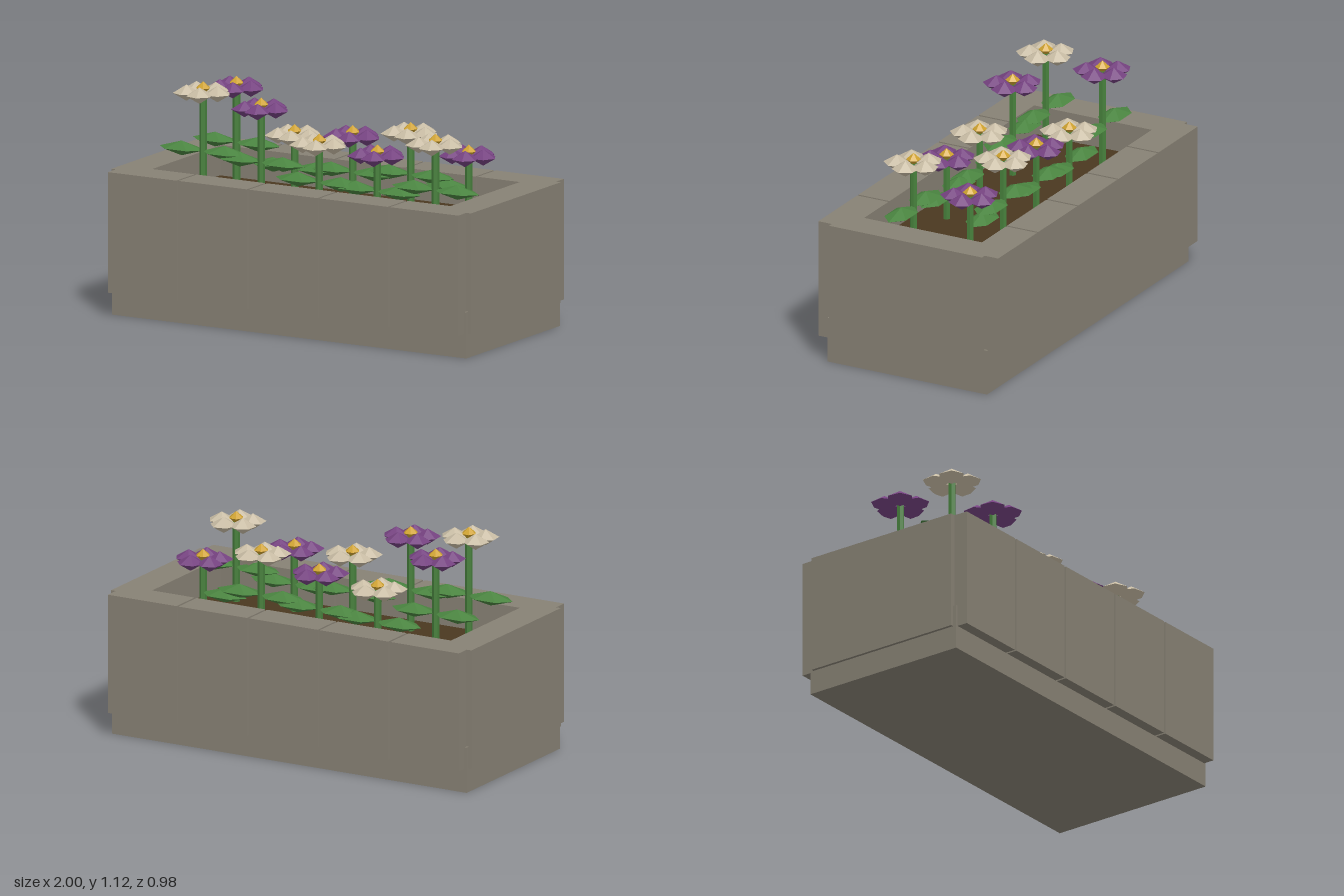
import * as THREE from 'three';

const mat = (name, color) => {
  const m = new THREE.MeshStandardMaterial({ color, flatShading: true });
  m.name = name;
  return m;
};

export function createModel() {
  const stone = mat('stone', 0x878174);
  const soil = mat('soil', 0x4a3820);
  const stemGreen = mat('stemGreen', 0x47803c);
  const leafGreen = mat('leafGreen', 0x4a8440);
  const cream = mat('cream', 0xc8bca4);
  const purple = mat('purple', 0x754280);
  const yellow = mat('yellow', 0xcfa22f);

  const root = new THREE.Group();
  root.name = 'flowerPlanter';

  const add = (parent, name, geometry, material, x, y, z) => {
    const mesh = new THREE.Mesh(geometry, material);
    mesh.name = name;
    mesh.position.set(x, y, z);
    parent.add(mesh);
    return mesh;
  };
  // Box given by its minimum and maximum corners
  const box = (name, material, x0, x1, y0, y1, z0, z1) =>
    add(root, name, new THREE.BoxGeometry(x1 - x0, y1 - y0, z1 - z0), material,
      (x0 + x1) / 2, (y0 + y1) / 2, (z0 + z1) / 2);
  // Six-sided double pyramid, flattened to the given radii
  const gem = (rx, ry, rz) => new THREE.SphereGeometry(1, 6, 2).scale(rx, ry, rz);

  // Trough: plinth, soil slab and wall slabs with open joints
  box('plinth', stone, -0.985, 0.985, 0, 0.225, -0.437, 0.437);
  box('soil', soil, -0.835, 0.835, 0.46, 0.56, -0.31, 0.31);
  for (const s of [-1, 1]) {
    const a = s * 0.83, b = s * 1.0;
    box('endSlab', stone, Math.min(a, b), Math.max(a, b), 0.118, 0.706, -0.418, 0.418);
    for (let i = 0; i < 5; i++) {
      const x = (i - 2) * 0.392;
      const z0 = s > 0 ? 0.322 : -0.492;
      box('sideSlab', stone, x - 0.19, x + 0.19, 0.118, 0.706, z0, z0 + 0.17);
    }
  }

  // Plants: stem, a pair of leaves and a five-petal flower
  const petalGeo = gem(0.066, 0.04, 0.066);
  const centreGeo = gem(0.036, 0.032, 0.036);
  const leafGeo = gem(0.122, 0.036, 0.068);
  const ground = 0.56;

  const plant = (x, z, top, petalMat, leafSides) => {
    const g = new THREE.Group();
    g.name = 'flower';
    g.position.set(x, ground, z);
    root.add(g);
    const h = top - ground;
    add(g, 'stem', new THREE.CylinderGeometry(0.018, 0.018, h, 6), stemGreen, 0, h / 2, 0);
    for (const s of leafSides) add(g, 'leaf', leafGeo, leafGreen, s * 0.12, h * 0.443, 0);
    for (let i = 0; i < 5; i++) {
      const t = (i / 5) * Math.PI * 2;
      const petal = add(g, 'petal', petalGeo, petalMat, Math.cos(t) * 0.08, h, Math.sin(t) * 0.08);
      petal.rotation.y = -t;
    }
    add(g, 'flowerCentre', centreGeo, yellow, 0, h + 0.022, 0);
  };

  // Two rows with alternating colours and varied heights
  const rows = [
    { z: 0.155, tops: [1.07, 1.025, 0.885, 0.867, 0.955] },
    { z: -0.155, tops: [1.04, 0.84, 0.87, 0.92, 0.845] },
  ];
  rows.forEach(({ z, tops }, r) => tops.forEach((top, i) => {
    const atBackCorner = r === 1 && i === 4;
    plant((i - 2) * 0.323, z, top, (i + r) % 2 ? purple : cream, atBackCorner ? [-1] : [-1, 1]);
  }));

  return root;
}
